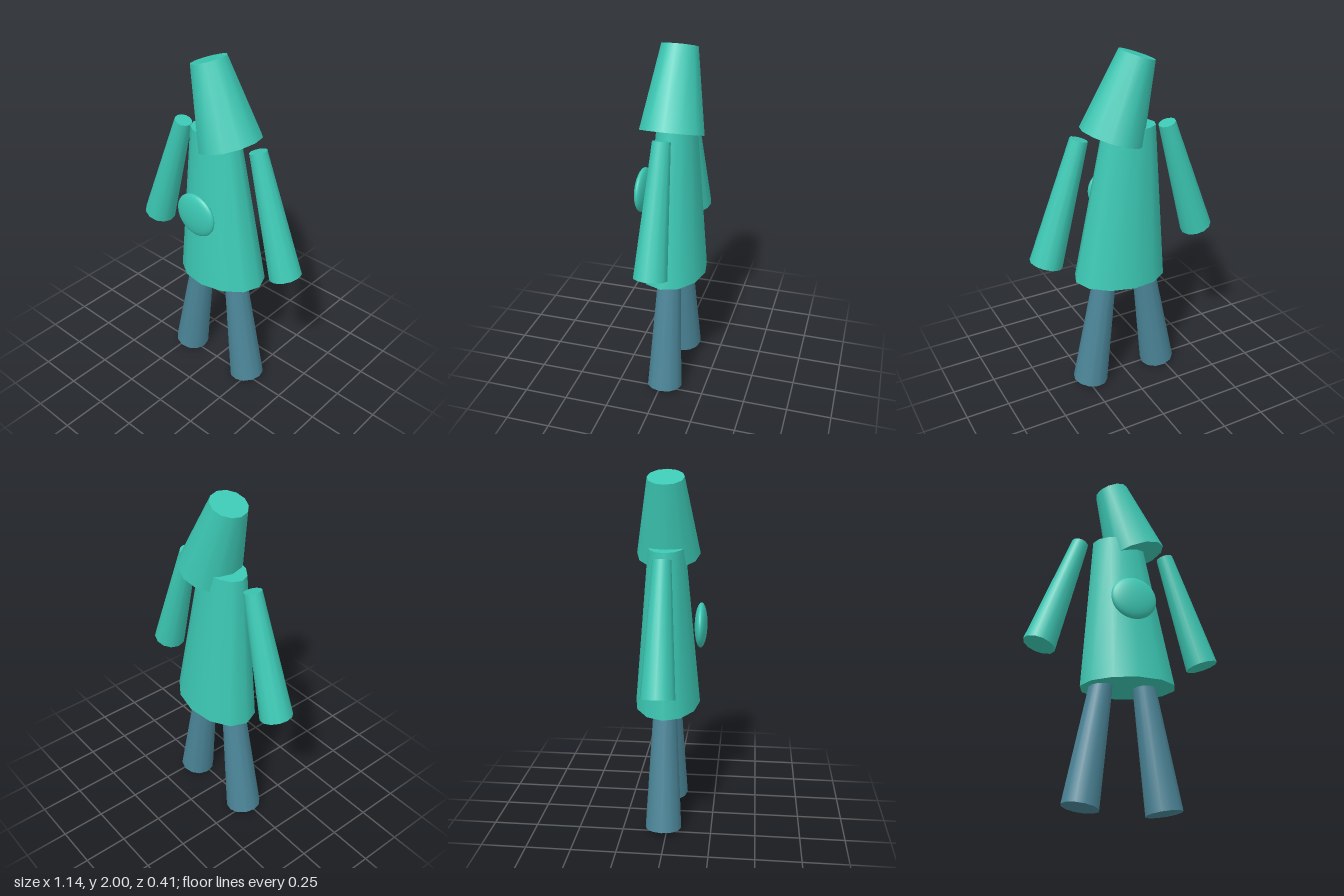
import * as THREE from 'three';

export function createModel() {
  const model = new THREE.Group();
  const teal = new THREE.MeshStandardMaterial({ color: 0x3cc8b4 });
  teal.name = 'teal';
  const slate = new THREE.MeshStandardMaterial({ color: 0x4b8598 });
  slate.name = 'slate blue';
  const midZ = -0.02;

  // Tapered 12-sided solid running from a bottom centre to a top centre (x, y)
  function taper(name, material, [bx, by], [tx, ty], bottomR, topR, depth = 1) {
    const dx = tx - bx, dy = ty - by;
    const geometry = new THREE.CylinderGeometry(topR, bottomR, Math.hypot(dx, dy), 12);
    geometry.scale(1, 1, depth);
    const mesh = new THREE.Mesh(geometry, material);
    mesh.name = name;
    mesh.position.set((bx + tx) / 2, (by + ty) / 2, midZ);
    mesh.rotation.z = -Math.atan2(dx, dy);
    model.add(mesh);
  }

  // Leaning body, flattened front to back, and the tilted head
  taper('body', teal, [0.03, 0.695], [-0.033, 1.597], 0.276, 0.152, 0.67);
  taper('head', teal, [0.077, 1.544], [-0.075, 1.968], 0.177, 0.1);

  // Arms and legs, mirrored
  for (const [side, s] of [['left', 1], ['right', -1]]) {
    taper(side + 'Arm', teal, [s * 0.48, 0.885], [s * 0.265, 1.565], 0.092, 0.049);
    taper(side + 'Leg', slate, [s * 0.229, 0.02], [s * 0.11, 0.8], 0.102, 0.06);
  }

  // Flat round button on the belly
  const button = new THREE.Mesh(new THREE.SphereGeometry(1, 32, 20), teal);
  button.name = 'bellyButton';
  button.scale.set(0.131, 0.125, 0.035);
  button.position.set(0, 1.157, 0.168);
  model.add(button);

  return model;
}
